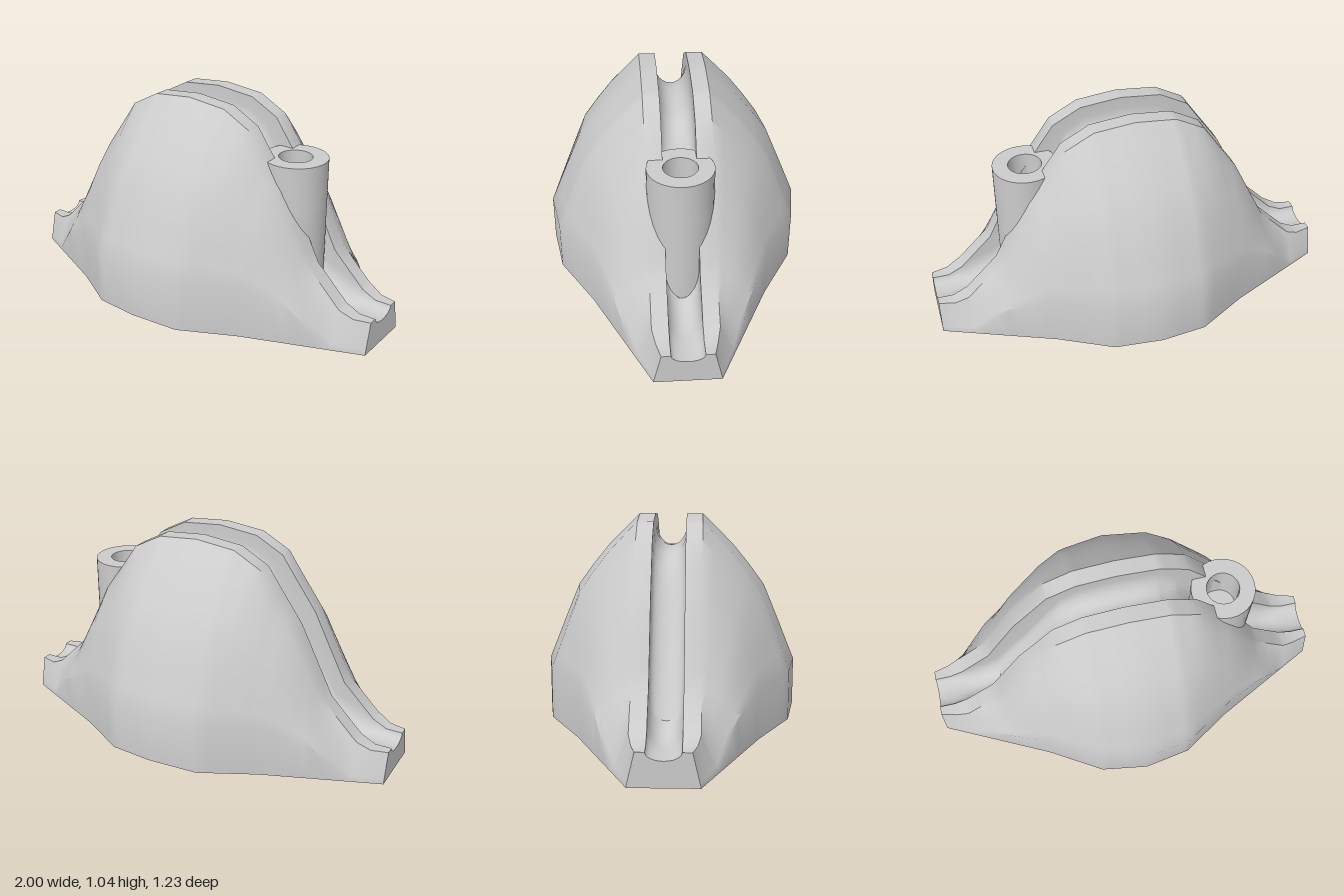
import * as THREE from 'three';
import { toCreasedNormals } from 'three/addons/utils/BufferGeometryUtils.js';

// Profiles against distance from the middle: [|x|, value]
const TOP = [[0, 1.04], [0.2, 1.02], [0.34, 0.945], [0.42, 0.83], [0.52, 0.69], [0.69, 0.35], [0.85, 0.19], [0.92, 0.155], [1, 0.155]];
const FLOOR = [[0, 0.885], [0.18, 0.865], [0.28, 0.8], [0.45, 0.5], [0.655, 0.18], [0.8, 0.122], [1, 0.117]];
const WIDTH = [[0, 0.615], [0.23, 0.575], [0.48, 0.42], [1, 0.155]];
const WALL = [[0, 0.31], [0.48, 0.3], [0.69, 0.2], [0.85, 0.02], [1, 0.005]];
const RIM = [[0, 0.155], [0.86, 0.155], [1, 0.12]];
// How far the side flattens into a plain slope
const FLAT = [[0, 0], [0.55, 0], [0.85, 1], [1, 1]];
// Dome side: [share of width, share of height]
const DOME = [[1, 0], [0.917, 0.13], [0.834, 0.26], [0.663, 0.52], [0.5, 0.66], [0.326, 0.795], [0.16, 0.9], [0, 1]];
// Quarter outline of the bottom opening as [x, z]
const OPENING = [[0, 0.54], [0.17, 0.5], [0.31, 0.42], [0.42, 0.32], [0.475, 0.15], [0.485, 0]];
// Triangular pocket near each end as [x, z]
const SLOT = [[0.54, -0.2], [0.86, -0.02], [0.86, 0.02], [0.54, 0.2]];
const GROOVE = 0.077;

function at(table, x) {
  const d = Math.min(1, Math.abs(x));
  const i = Math.max(1, table.findIndex(p => p[0] >= d));
  const [a, b] = [table[i - 1], table[i]];
  return a[1] + (b[1] - a[1]) * (d - a[0]) / (b[0] - a[0]);
}
const baseY = x => 0.08 * (1 - Math.abs(x));

// Stations along the positive half, taken from all profiles
const half = [...new Set([TOP, FLOOR, WIDTH, WALL, RIM].flat().map(p => p[0]).concat(0.1, 0.6, 0.76))].sort((a, b) => a - b);

// Cross-section as [z, y], from the +z foot over the groove to the -z foot
function section(x) {
  const w = at(WIDTH, x), wall = at(WALL, x), top = at(TOP, x), rim = at(RIM, x), floor = at(FLOOR, x);
  const flat = at(FLAT, x);
  const side = [[w, baseY(x)]];
  for (const [u, t] of DOME) {
    const share = u + (1 - t - u) * flat;
    side.push([rim + (w - rim) * share, wall + (top - wall) * t]);
  }
  side.push([GROOVE, top]);
  const h = Math.min(0.1, top - floor);
  for (let k = 0; k <= 6; k++) {
    const a = k * Math.PI / 12;
    side.push([GROOVE * Math.cos(a), floor + h * (1 - Math.sin(a))]);
  }
  return side.concat(side.slice(0, -1).reverse().map(([z, y]) => [-z, y]));
}

// Surface through rows of points with equal counts
function loft(rows) {
  const n = rows[0].length, index = [];
  for (let i = 0; i < rows.length - 1; i++) {
    for (let j = 0; j < n - 1; j++) {
      const a = i * n + j, b = a + n;
      index.push(a, b, a + 1, b, b + 1, a + 1);
    }
  }
  const geometry = new THREE.BufferGeometry();
  geometry.setAttribute('position', new THREE.Float32BufferAttribute(rows.flat(2), 3));
  geometry.setIndex(index);
  return geometry;
}

// Lifts vertices at y = 0 onto the sloping base
function followBase(geometry) {
  const p = geometry.attributes.position;
  for (let i = 0; i < p.count; i++) if (Math.abs(p.getY(i)) < 1e-6) p.setY(i, baseY(p.getX(i)));
  return geometry;
}

export function createModel() {
  const model = new THREE.Group();
  const grey = new THREE.MeshStandardMaterial({ color: 0xcccccc });
  const both = new THREE.MeshStandardMaterial({ color: 0xcccccc, side: THREE.DoubleSide });
  const add = (name, geometry, material = grey) => {
    const mesh = new THREE.Mesh(geometry, material);
    mesh.name = name;
    model.add(mesh);
    return mesh;
  };

  // Domed body with the cord groove over its crest
  const xs = half.slice(1).reverse().map(x => -x).concat(half);
  const body = loft(xs.map(x => section(x).map(([z, y]) => [x, y, z])));
  add('body', toCreasedNormals(body, 0.6), both);

  // Half outline of the opening, from +z round to -z on the +x side
  const arc = OPENING.concat(OPENING.slice(0, -1).reverse().map(([x, z]) => [x, -z]));

  // Parts that repeat at both ends
  for (const s of [1, -1]) {
    const turn = s > 0 ? 0 : Math.PI;

    const face = new THREE.ShapeGeometry(new THREE.Shape(section(1).reverse().map(([z, y]) => new THREE.Vector2(z, y))));
    face.rotateY(s * Math.PI / 2).translate(s, 0, 0);
    add('endFace', face, both);

    // Underside with half of the opening and a triangular pocket
    const edge = half.map(x => new THREE.Vector2(x, at(WIDTH, x)));
    const outline = edge.map(p => new THREE.Vector2(p.x, -p.y)).concat(edge.slice().reverse());
    outline.push(...arc.map(p => new THREE.Vector2(...p)));
    const plate = new THREE.Shape(outline);
    plate.holes.push(new THREE.Path(SLOT.map(p => new THREE.Vector2(...p))));
    const under = followBase(new THREE.ShapeGeometry(plate).rotateX(Math.PI / 2));
    under.computeVertexNormals();
    add('underside', under, both).rotation.y = turn;

    // Pocket walls and roof, open at the bottom
    const loop = SLOT.concat([SLOT[0]]);
    const pocket = loft([
      loop.map(([x, z]) => [x, 0, z]),
      loop.map(([x, z]) => [x, 0.1, z]),
      loop.map(() => [0.65, 0.1, 0]),
    ]);
    add('endPocket', toCreasedNormals(followBase(pocket), 0.5), both).rotation.y = turn;
  }

  // Hollow interior: straight wall, then a dome, as [scale, height]
  const ring = arc.concat(arc.slice(0, -1).reverse().map(([x, z]) => [-x, z]));
  const levels = [[1, 0], [1, 0.24], [0.88, 0.42], [0.72, 0.58], [0.5, 0.72], [0.25, 0.79], [0, 0.81]];
  const cavity = loft(levels.map(([k, y]) => ring.map(([x, z]) => [x * k, y, z * k])));
  add('cavity', toCreasedNormals(followBase(cavity), 0.45), both);

  // Four ribs around the middle, following the dome
  for (let q = 0; q < 4; q++) {
    const reach = q % 2 ? 0.535 : 0.48;
    const profile = levels.slice(1, 5).map(([k, y]) => new THREE.Vector2(reach * k, y));
    profile.push(new THREE.Vector2(0.13, 0.78), new THREE.Vector2(0.13, 0.24));
    const rib = new THREE.ExtrudeGeometry(new THREE.Shape(profile), { depth: 0.07, bevelEnabled: false });
    add('innerRib', rib.translate(0, 0, -0.035)).rotation.y = q * Math.PI / 2;
  }

  // Upright tube with a blind bore, its outer half running down into the groove
  const tube = [[0.155, 0.58], [0.155, 0.81], [0.08, 0.81], [0.08, 0.6], [0, 0.6]];
  const upper = new THREE.LatheGeometry(tube.map(p => new THREE.Vector2(...p)), 32);
  add('tube', toCreasedNormals(upper, 0.6), both).position.x = 0.5;
  const lower = new THREE.CylinderGeometry(0.155, 0.155, 0.41, 16, 1, true, 0, Math.PI);
  add('tubeFoot', lower.translate(0.5, 0.375, 0), both);

  return model;
}
